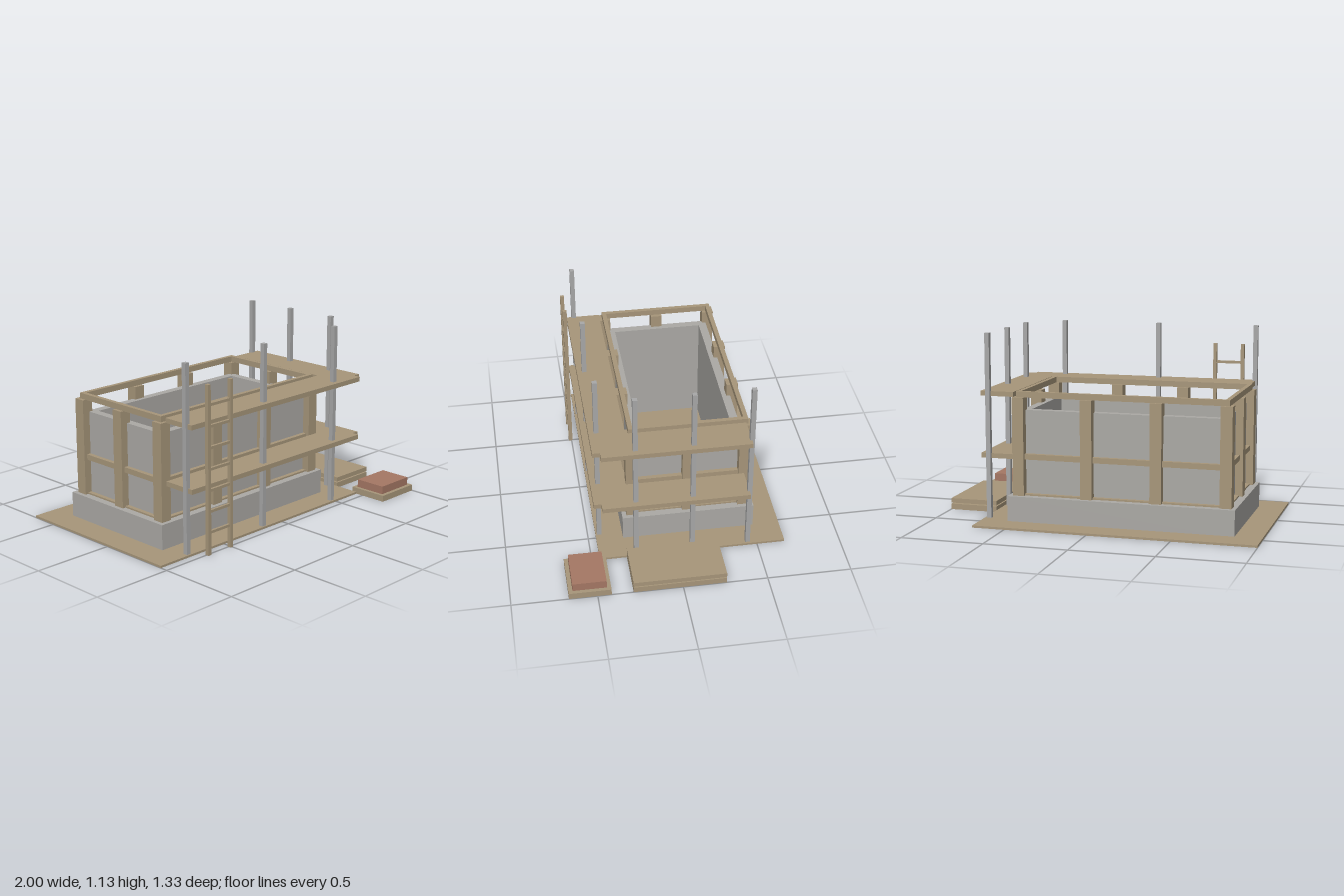
import * as THREE from 'three';

export function createModel() {
  const model = new THREE.Group();
  model.name = 'constructionSite';
  const wood = new THREE.MeshStandardMaterial({ name: 'wood', color: 0xa8977b });
  const concrete = new THREE.MeshStandardMaterial({ name: 'concrete', color: 0xacaaa6 });
  const steel = new THREE.MeshStandardMaterial({ name: 'steel', color: 0xa9a9a9 });
  const brick = new THREE.MeshStandardMaterial({ name: 'brick', color: 0xa67865 });

  // Box given by its extents on each axis
  function box(name, mat, [x0, x1], [y0, y1], [z0, z1], parent = model) {
    const mesh = new THREE.Mesh(new THREE.BoxGeometry(x1 - x0, y1 - y0, z1 - z0), mat);
    mesh.position.set((x0 + x1) / 2, (y0 + y1) / 2, (z0 + z1) / 2);
    mesh.name = name;
    parent.add(mesh);
  }

  // Flat outline (x, -z) raised from y0 to y1
  function raise(name, mat, shape, y0, y1) {
    const geo = new THREE.ExtrudeGeometry(shape, { depth: y1 - y0, bevelEnabled: false });
    geo.rotateX(-Math.PI / 2);
    const mesh = new THREE.Mesh(geo, mat);
    mesh.position.y = y0;
    mesh.name = name;
    model.add(mesh);
    return mesh;
  }

  // Rectangular ring around the building's centre, from half sizes
  const CX = -0.152, CZ = -0.107;
  function ring(name, mat, [ox, oz], [ix, iz], y0, y1) {
    const rect = (hx, hz) => [[-hx, -hz], [hx, -hz], [hx, hz], [-hx, hz]].map(p => new THREE.Vector2(...p));
    const shape = new THREE.Shape(rect(ox, oz));
    shape.holes.push(new THREE.Path(rect(ix, iz).reverse()));
    const mesh = raise(name, mat, shape, y0, y1);
    mesh.position.x = CX;
    mesh.position.z = CZ;
  }

  // Ground, foundation and walls
  box('groundSlab', wood, [-1, 0.698], [0, 0.013], [-0.667, 0.453]);
  ring('foundation', concrete, [0.687, 0.399], [0.566, 0.276], 0.002, 0.165);
  ring('wall', concrete, [0.615, 0.326], [0.566, 0.276], 0.165, 0.677);

  // Timber frame: rails and posts
  for (const [name, y0, y1] of [['bottomRail', 0.16, 0.175], ['middleRail', 0.383, 0.416], ['topRail', 0.755, 0.79]]) {
    ring(name, wood, [0.642, 0.353], [0.615, 0.326], y0, y1);
  }
  const posts = [];
  for (const x of [-0.627, -0.213, 0.207, 0.627]) posts.push([x, -0.338], [x, 0.338]);
  posts.push([-0.627, 0], [0.627, 0]);
  for (const [x, z] of posts) {
    box('framePost', wood, [CX + x - 0.035, CX + x + 0.035], [0.165, 0.755],
      [CZ + z - 0.035, CZ + z + 0.035]);
  }

  // Scaffold: L-shaped decks with a notched corner, and poles
  const deck = new THREE.Shape([
    [-0.777, 0.475], [0.673, 0.475], [0.673, 0.43], [0.72, 0.43],
    [0.72, -0.442], [0.514, -0.442], [0.514, 0.266], [-0.777, 0.266],
  ].map(([x, z]) => new THREE.Vector2(x, -z)));
  raise('lowerDeck', wood, deck, 0.378, 0.407);
  raise('upperDeck', wood, deck, 0.753, 0.782);
  for (const [x, z] of [[-0.777, 0.43], [-0.153, 0.43], [0.472, 0.43], [0.671, 0.23], [0.671, -0.107], [0.671, -0.444]]) {
    box('scaffoldPole', steel, [x - 0.014, x + 0.014], [0.002, 1.13], [z - 0.014, z + 0.014]);
  }

  // Ladder
  const ladder = new THREE.Group();
  ladder.name = 'ladder';
  model.add(ladder);
  for (const x of [-0.681, -0.505]) {
    box('ladderRail', wood, [x - 0.011, x + 0.011], [0, 1.003], [0.494, 0.518], ladder);
  }
  for (let i = 0; i < 7; i++) {
    const y = 0.136 + i * 0.125;
    box('ladderRung', wood, [-0.67, -0.516], [y - 0.008, y + 0.008], [0.498, 0.514], ladder);
  }

  // Stacked boards and the brick pallet
  box('lowerBoard', wood, [0.7, 1], [0, 0.035], [-0.257, 0.291]);
  box('upperBoard', wood, [0.7, 1], [0.042, 0.07], [-0.257, 0.291]);
  box('pallet', wood, [0.7, 1], [0, 0.039], [0.419, 0.667]);
  box('brickStack', brick, [0.722, 0.978], [0.039, 0.089], [0.444, 0.643]);

  return model;
}
